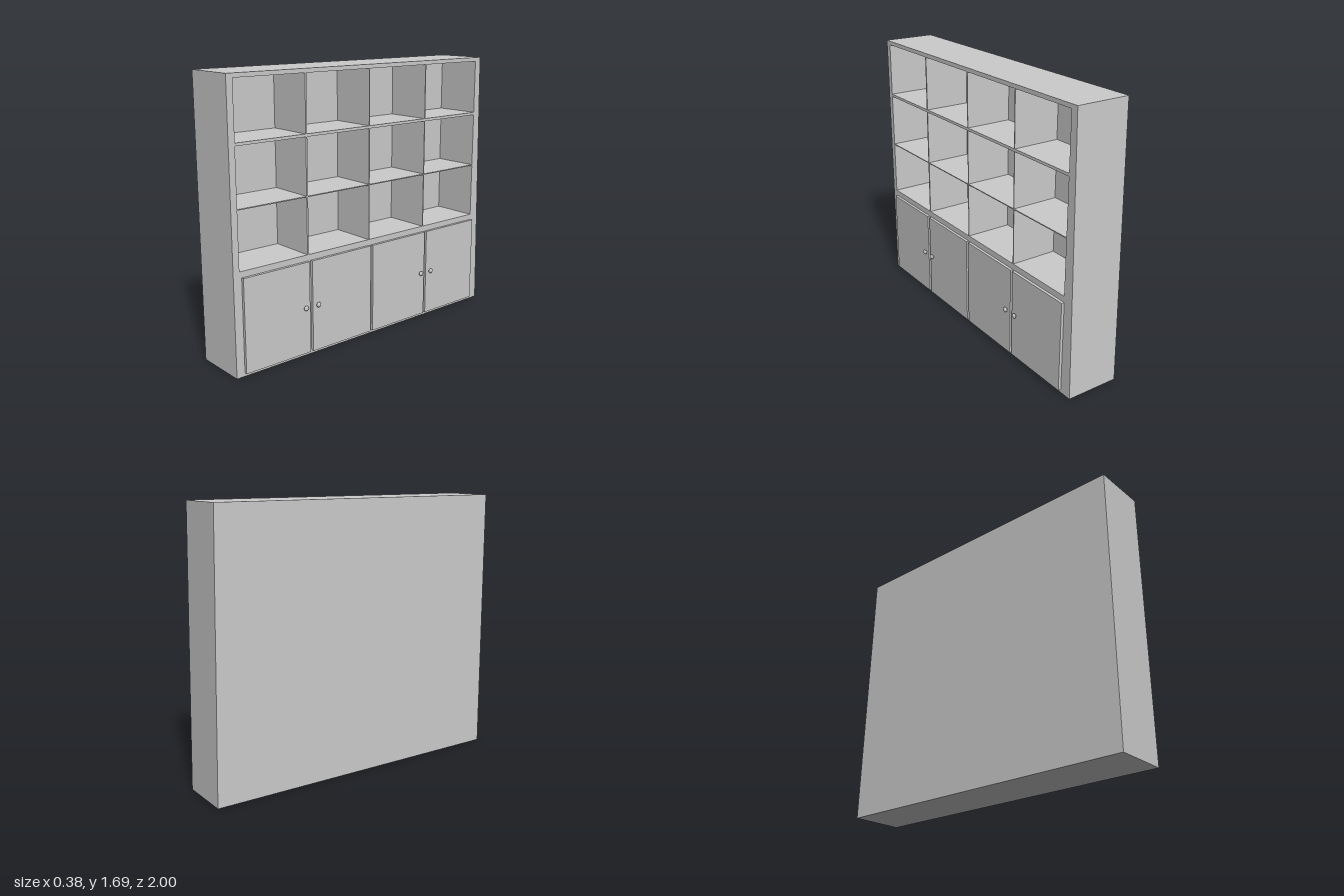
import * as THREE from 'three';

const BACK = -0.19, INNER = -0.15, FRONT = 0.148, DOOR = 0.166;

export function createModel() {
  const group = new THREE.Group();
  const mat = new THREE.MeshStandardMaterial({ color: 0xcccccc });

  const add = (geometry, name) => {
    const mesh = new THREE.Mesh(geometry, mat);
    mesh.name = name;
    group.add(mesh);
    return mesh;
  };
  const points = (list) => list.map(([z, y]) => new THREE.Vector2(-z, y));
  // Elevation given as (z, y) corners, extruded along x
  const slab = (shape, x0, x1) =>
    new THREE.ExtrudeGeometry(shape, { depth: x1 - x0, bevelEnabled: false })
      .rotateY(Math.PI / 2).translate(x0, 0, 0);

  // Outline with one slightly leaning side
  const outline = [[1, 0], [-1, 0], [-0.965, 1.69], [1, 1.69]];

  // Carcass with a grid of open compartments
  const carcass = new THREE.Shape(points(outline));
  const columns = [[0.96, 0.495], [0.485, 0.02], [0.014, -0.45], [-0.456, -0.92]];
  const rows = [[0.62, 0.963], [0.969, 1.31], [1.327, 1.665]];
  for (const [z0, z1] of columns) {
    for (const [y0, y1] of rows) {
      carcass.holes.push(new THREE.Path(points([[z0, y0], [z0, y1], [z1, y1], [z1, y0]])));
    }
  }
  add(slab(carcass, INNER, FRONT), 'shelfCarcass');
  add(slab(new THREE.Shape(points(outline)), BACK, INNER), 'backPanel');

  // Cupboard doors
  const doors = [[0.947, 0.494], [0.474, 0.018], [0, -0.455], [-0.471, -0.923]];
  doors.forEach(([z0, z1], i) => {
    const door = add(new THREE.BoxGeometry(DOOR - FRONT, 0.563, z0 - z1), `door${i + 1}`);
    door.position.set((DOOR + FRONT) / 2, 0.3015, (z0 + z1) / 2);
  });

  // Round knobs on short stems
  const profile = [[0.008, 0], [0.008, 0.004], [0.014, 0.006], [0.016, 0.01],
    [0.014, 0.015], [0.008, 0.019], [0, 0.02]].map(([r, h]) => new THREE.Vector2(r, h));
  const knobGeometry = new THREE.LatheGeometry(profile, 20).rotateZ(-Math.PI / 2);
  [0.53, 0.438, -0.418, -0.508].forEach((z, i) => {
    add(knobGeometry, `knob${i + 1}`).position.set(DOOR, 0.307, z);
  });

  return group;
}
